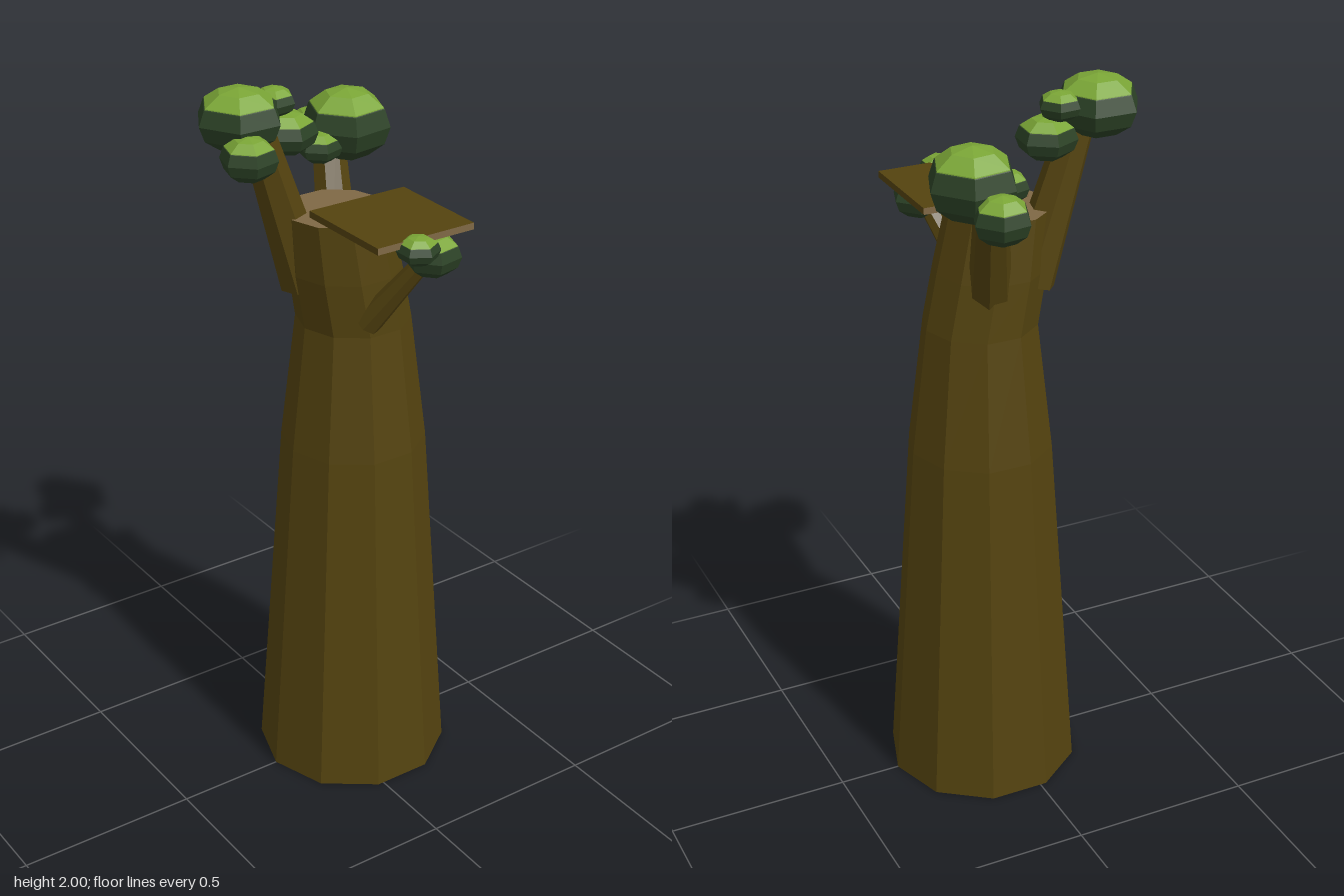
import * as THREE from 'three';

const mat = (name, color) => {
  const m = new THREE.MeshStandardMaterial({ color });
  m.name = name;
  return m;
};

// Faceted shading: every face gets its own normal
const facet = (geometry) => {
  const g = geometry.index ? geometry.toNonIndexed() : geometry;
  g.computeVertexNormals();
  return g;
};

export function createModel() {
  const bark = mat('bark', 0x54430f);
  const cutWood = mat('cutWood', 0x7f6845);
  const leaf = mat('leafGreen', 0x7aa536);
  const shade = mat('deepGreen', 0x2c4226);

  const tree = new THREE.Group();
  tree.name = 'tree';
  const add = (parent, name, geometry, material) => {
    const mesh = new THREE.Mesh(geometry, material);
    mesh.name = name;
    parent.add(mesh);
    return mesh;
  };

  // Trunk: ten-sided, each ring is [height, centre x, radius]
  const rings = [
    [0, 0.065, 0.265],
    [1.0, 0.065, 0.195],
    [1.35, 0.063, 0.153],
    [1.5, 0.035, 0.15],
    [1.66, 0.01, 0.137],
  ];
  const trunk = new THREE.CylinderGeometry(1, 1, 1, 10, 4, false, Math.PI / 2);
  const p = trunk.attributes.position;
  for (let i = 0; i < p.count; i++) {
    const [y, cx, r] = rings[Math.round((p.getY(i) + 0.5) * 4)];
    p.setXYZ(i, cx + p.getX(i) * r, y, p.getZ(i) * r);
  }
  add(tree, 'trunk', facet(trunk), [bark, cutWood, cutWood]);

  // Platform: bark-coloured board with pale cut ends at front and back
  const board = add(tree, 'platform', new THREE.BoxGeometry(0.293, 0.018, 0.295),
    [bark, bark, bark, bark, cutWood, cutWood]);
  board.position.set(0.0635, 1.671, 0.1625);

  // Branches: tapered cylinders between two points
  const up = new THREE.Vector3(0, 1, 0);
  const branch = (name, from, to, r0, r1) => {
    const a = new THREE.Vector3(...from);
    const b = new THREE.Vector3(...to);
    const dir = b.clone().sub(a);
    const geo = new THREE.CylinderGeometry(r1, r0, dir.length(), 7);
    const mesh = add(tree, name, facet(geo), bark);
    mesh.position.copy(a).lerp(b, 0.5);
    mesh.quaternion.setFromUnitVectors(up, dir.normalize());
  };
  branch('rightBranch', [-0.055, 1.46, -0.05], [-0.185, 1.88, -0.06], 0.068, 0.045);
  branch('backBranch', [0.075, 1.45, -0.085], [0.135, 1.78, -0.225], 0.058, 0.043);
  branch('frontBranch', [0.02, 1.385, 0.125], [0.1, 1.6, 0.27], 0.037, 0.023);

  // Leaf clumps: a dark body with a light crown raised slightly out of it
  const clumpGeo = facet(new THREE.SphereGeometry(1, 6, 6));
  const clump = (parent, x, y, z, r, h, yaw) => {
    const body = add(parent, 'leafShade', clumpGeo, shade);
    body.position.set(x, y, z);
    body.scale.set(r, h, r);
    const crown = add(parent, 'leafCrown', clumpGeo, leaf);
    crown.position.set(x, y + h * 0.07, z);
    crown.scale.set(r * 0.97, h * 0.95, r * 0.97);
    body.rotation.y = crown.rotation.y = yaw;
  };

  // Each clump: x, y, z, radius, half height, turn
  const foliage = {
    rightFoliage: [
      [-0.222, 1.92, -0.087, 0.115, 0.08, 0],
      [-0.26, 1.855, 0.017, 0.075, 0.056, 0.25],
      [-0.08, 1.855, -0.09, 0.08, 0.056, 0.45],
      [-0.108, 1.938, -0.105, 0.057, 0.038, 0.1],
    ],
    backFoliage: [
      [0.165, 1.805, -0.18, 0.12, 0.095, 0.15],
      [0.147, 1.753, -0.308, 0.077, 0.062, 0.15],
      [0.06, 1.77, -0.15, 0.06, 0.042, 0.3],
    ],
    frontFoliage: [
      [0.028, 1.655, 0.325, 0.056, 0.037, Math.PI / 6],
      [0.11, 1.606, 0.275, 0.075, 0.056, 0.2],
    ],
  };
  for (const [name, clumps] of Object.entries(foliage)) {
    const group = new THREE.Group();
    group.name = name;
    clumps.forEach((c) => clump(group, ...c));
    tree.add(group);
  }

  return tree;
}
